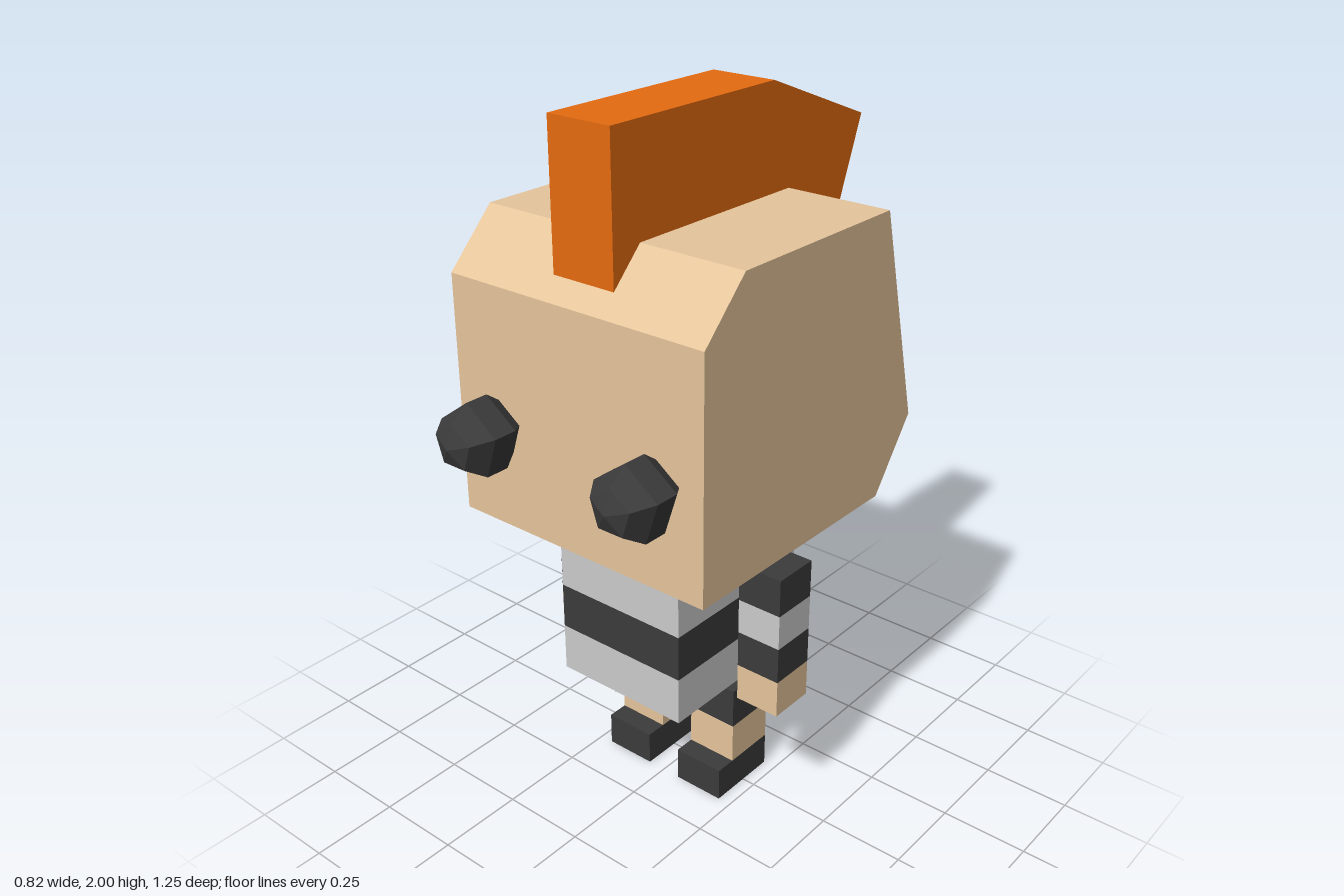
import * as THREE from 'three';

const paint = (color) => new THREE.MeshStandardMaterial({ color, flatShading: true });
const skin = paint(0xe6c59c);
const orange = paint(0xe66b10);
const dark = paint(0x3b3b3b);
const grey = paint(0xcccccc);
const navy = paint(0x34424f);

function add(parent, name, geometry, material) {
  const mesh = new THREE.Mesh(geometry, material);
  mesh.name = name;
  parent.add(mesh);
  return mesh;
}

// Box given by its limits on each axis
function block(parent, name, material, [x0, x1], [y0, y1], [z0, z1]) {
  const mesh = add(parent, name, new THREE.BoxGeometry(x1 - x0, y1 - y0, z1 - z0), material);
  mesh.position.set((x0 + x1) / 2, (y0 + y1) / 2, (z0 + z1) / 2);
  return mesh;
}

// Side profile in [z, y] points, extruded across x and centred
function slab(parent, name, material, profile, width) {
  const shape = new THREE.Shape(profile.map(([z, y]) => new THREE.Vector2(z, y)));
  const geometry = new THREE.ExtrudeGeometry(shape, { depth: width, bevelEnabled: false });
  geometry.rotateY(-Math.PI / 2).translate(width / 2, 0, 0);
  return add(parent, name, geometry, material);
}

// Stacked colour bands; levels run from bottom to top
function bands(parent, name, x, z, levels, materials) {
  const group = new THREE.Group();
  group.name = name;
  materials.forEach((m, i) => block(group, `${name}Band${i + 1}`, m, x, [levels[i], levels[i + 1]], z));
  parent.add(group);
  return group;
}

export function createModel() {
  const model = new THREE.Group();
  model.name = 'figure';

  // Head with chamfered forehead and angled back
  slab(model, 'head', skin, [
    [0.44, 0.89], [0.44, 1.56], [0.295, 1.708], [-0.295, 1.708], [-0.46, 1.09], [-0.315, 0.89],
  ], 0.82);

  // Mohawk crest, its lower edge buried in the head
  slab(model, 'mohawk', orange, [
    [0.39, 1.61], [0.39, 2], [-0.22, 2], [-0.625, 1.845], [-0.41, 1.28], [-0.25, 1.4],
  ], 0.195);

  // Striped torso and the trousers seen beneath it
  bands(model, 'torso', [-0.21, 0.21], [-0.22, 0.295], [0.375, 0.515, 0.65, 0.79, 0.89], [grey, dark, grey, dark]);
  block(model, 'trousers', navy, [-0.208, 0.208], [0.373, 0.38], [-0.218, 0.293]);

  for (const [side, s] of [['left', 1], ['right', -1]]) {
    const span = (a, b) => (s > 0 ? [a, b] : [-b, -a]);

    // Bulging eye: five-sided ball with its pole facing forward, one corner up
    const ball = new THREE.SphereGeometry(0.11, 5, 5);
    ball.rotateY(Math.PI / 2).rotateX(Math.PI / 2);
    ball.computeBoundingBox();
    if (ball.boundingBox.max.y < -ball.boundingBox.min.y) ball.rotateZ(Math.PI);
    add(model, `${side}Eye`, ball, dark).position.set(s * 0.265, 1.175, 0.515);

    // Striped sleeve with bare hand
    bands(model, `${side}Arm`, span(0.265, 0.4), [-0.03, 0.108], [0.38, 0.49, 0.597, 0.7, 0.81], [skin, dark, grey, dark]);

    // Trouser leg, bare shin and shoe
    bands(model, `${side}Leg`, span(0.055, 0.21), [-0.105, 0.053], [0.1, 0.222, 0.343], [skin, dark]);
    block(model, `${side}Shoe`, dark, span(0.055, 0.21), [0, 0.1], [-0.105, 0.115]);
  }

  return model;
}
